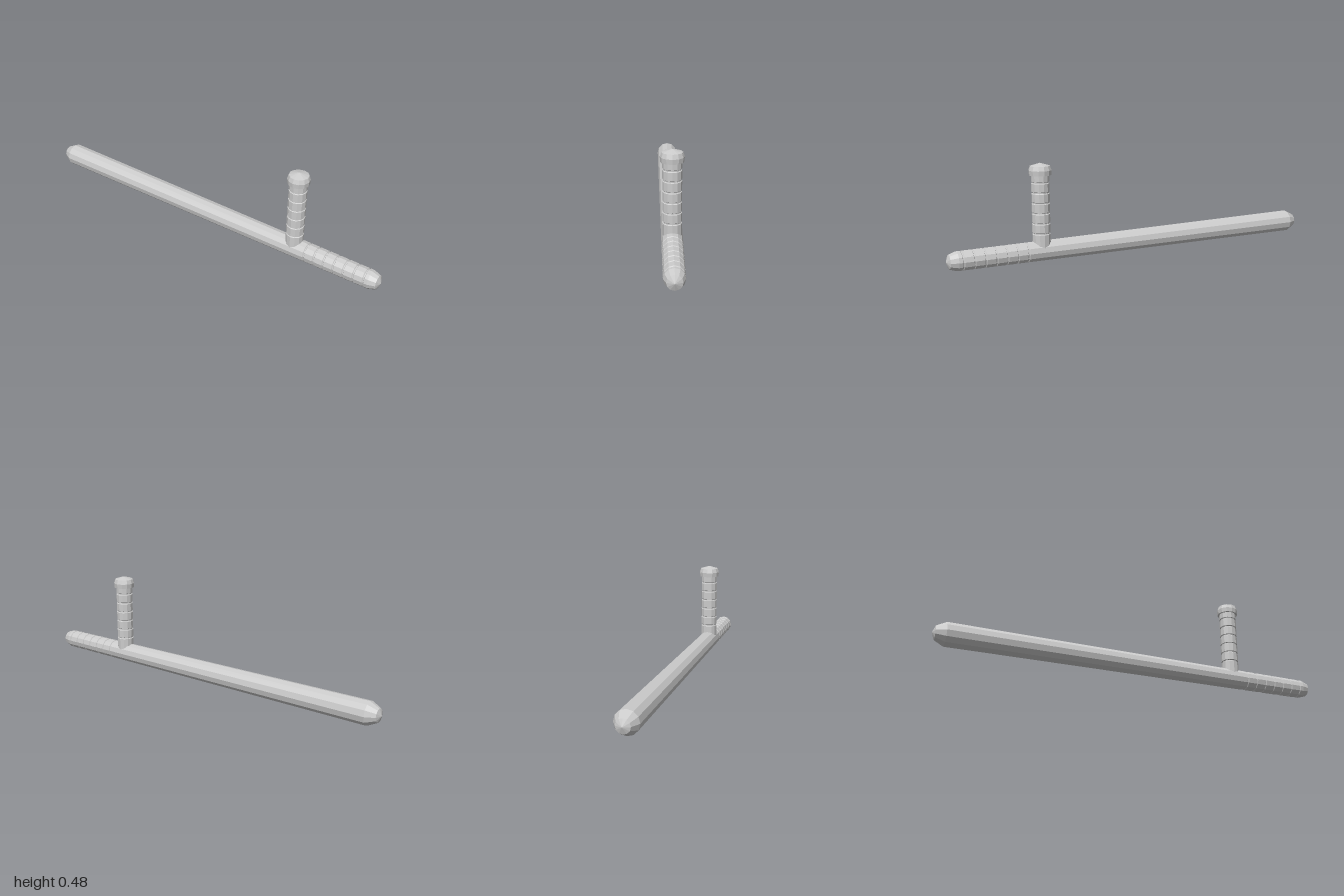
import * as THREE from 'three';

const SIDES = 12;
const material = new THREE.MeshStandardMaterial({ color: 0xcccccc, flatShading: true });

// Faceted turned part from [radius, height] pairs, listed bottom to top
function turned(name, profile) {
  const points = profile.map(([r, h]) => new THREE.Vector2(r, h));
  const mesh = new THREE.Mesh(new THREE.LatheGeometry(points, SIDES), material);
  mesh.name = name;
  return mesh;
}

// Narrow V-sided groove cut into a profile of local radius r
function groove(r, h, depth = 0.004, half = 0.005) {
  return [[r, h - half], [r - depth, h - half * 0.5], [r - depth, h + half * 0.5], [r, h + half]];
}

export function createModel() {
  const group = new THREE.Group();
  group.name = 'sideHandleBaton';

  // Long shaft, tapering towards the grooved front grip, domed at both ends
  const backZ = -0.94, frontZ = 0.95, backR = 0.058, frontR = 0.047;
  const radiusAt = z => THREE.MathUtils.mapLinear(z, backZ, frontZ, backR, frontR);
  const shaftProfile = [[0, -1], [0.034, -0.987], [backR, backZ]];
  for (let i = 0; i < 7; i++) {
    const z = 0.615 + i * 0.0522;
    shaftProfile.push(...groove(radiusAt(z), z));
  }
  shaftProfile.push([frontR, frontZ], [0.035, 0.986], [0, 1]);
  const shaft = turned('shaft', shaftProfile);
  shaft.rotation.x = Math.PI / 2;
  shaft.position.y = 0.058;
  group.add(shaft);

  // Upright side handle with grip grooves
  const handle = new THREE.Group();
  handle.name = 'sideHandle';
  handle.position.z = 0.535;
  const gripR = 0.044;
  const gripProfile = [[0, 0.06], [gripR, 0.06]];
  for (let i = 0; i < 6; i++) gripProfile.push(...groove(gripR, 0.146 + i * 0.049));
  gripProfile.push([gripR, 0.43]);
  handle.add(turned('handleGrip', gripProfile));

  // Wider knob closing the handle
  handle.add(turned('handleKnob', [
    [0, 0.425], [0.053, 0.425], [0.055, 0.448], [0.048, 0.469], [0, 0.483],
  ]));
  group.add(handle);

  return group;
}
